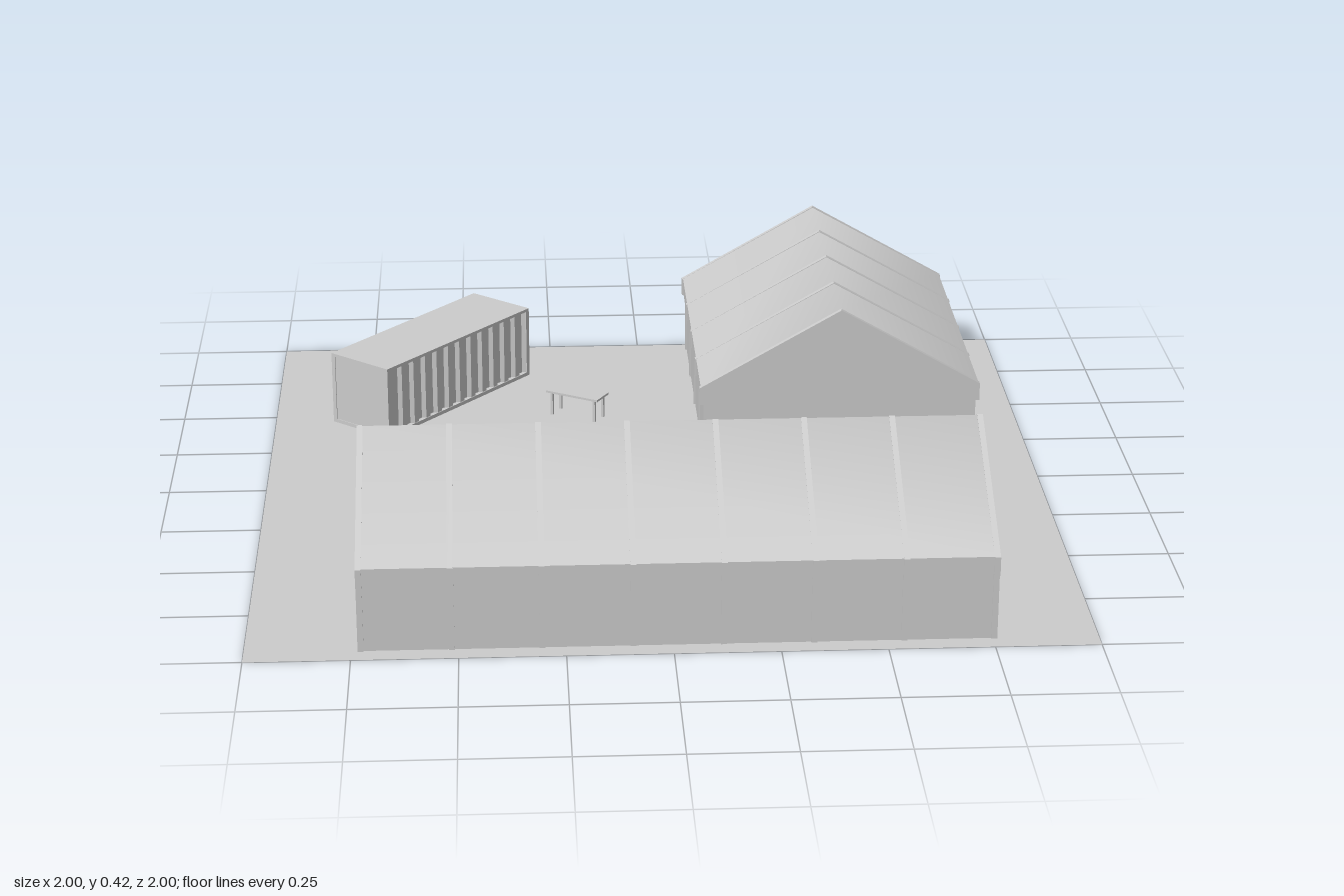
import * as THREE from 'three';

const grey = new THREE.MeshStandardMaterial({ color: 0xcccccc, side: THREE.DoubleSide });

function add(parent, name, geometry, x = 0, y = 0, z = 0) {
  const mesh = new THREE.Mesh(geometry, grey);
  mesh.name = name;
  mesh.position.set(x, y, z);
  parent.add(mesh);
  return mesh;
}

const box = (w, h, d) => new THREE.BoxGeometry(w, h, d);

// Gable cross-section with stepped-out eaves, grown outwards by g
function gableShape(g) {
  const half = [[0.353 + g, 0], [0.353 + g, 0.17 - g], [0.363 + g, 0.17 - g], [0.363 + g, 0.213]];
  const points = [...half, [0, 0.419 + g], ...half.map(([x, y]) => [-x, y]).reverse()];
  return new THREE.Shape(points.map(([x, y]) => new THREE.Vector2(x, y)));
}

// Extrusion centred on its own depth
function slab(shape, depth) {
  const geometry = new THREE.ExtrudeGeometry(shape, { depth, bevelEnabled: false });
  return geometry.translate(0, 0, -depth / 2);
}

// Roof sheet whose two slopes blend smoothly over the ridge
function roofSheet(length) {
  const geometry = new THREE.PlaneGeometry(0.728, length, 2, 1).rotateX(-Math.PI / 2);
  const p = geometry.attributes.position;
  for (let i = 0; i < p.count; i++) p.setY(i, 0.421 - Math.abs(p.getX(i)) * 0.5675);
  geometry.computeVertexNormals();
  return geometry;
}

// Portal-frame shed, ridge along local z
function shed(name, length, bays) {
  const group = new THREE.Group();
  group.name = name;
  add(group, 'shedBody', slab(gableShape(0), length - 0.003));
  add(group, 'roofSheet', roofSheet(length - 0.003));
  const ribWidth = 0.014;
  for (let i = 0; i <= bays; i++) {
    const z = (i / bays - 0.5) * (length - ribWidth);
    add(group, 'frameRib', slab(gableShape(0.004), ribWidth), 0, 0, z);
  }
  return group;
}

// Shipping container, long side along local x
function container() {
  const group = new THREE.Group();
  group.name = 'container';
  const L = 0.59, W = 0.2, H = 0.2, t = 0.012;

  // Trapezoid-corrugated side walls seen in plan
  const waves = 12, pitch = (L - 2 * t) / waves;
  const side = [];
  for (let i = 0; i < waves; i++) {
    const x = -L / 2 + t + i * pitch;
    const out = W / 2 - 0.002, inn = W / 2 - 0.012;
    side.push([x, out], [x + pitch * 0.35, out], [x + pitch * 0.5, inn], [x + pitch * 0.85, inn]);
  }
  side.push([L / 2 - t, W / 2 - 0.002]);
  const plan = [...side, ...side.map(([x, y]) => [x, -y]).reverse()];
  const shape = new THREE.Shape(plan.map(([x, y]) => new THREE.Vector2(x, y)));
  const walls = add(group, 'corrugatedWalls', slab(shape, H - 0.01), 0, H / 2, 0);
  walls.rotation.x = -Math.PI / 2;

  // Roof, floor, corner posts and end panels
  add(group, 'containerRoof', box(L, 0.008, W), 0, H - 0.004, 0);
  add(group, 'containerFloor', box(L, 0.01, W), 0, 0.007, 0);
  for (const sx of [-1, 1]) {
    add(group, 'endPanel', box(0.01, H - 0.016, W - 0.01), sx * (L / 2 - 0.007), H / 2, 0);
    for (const sz of [-1, 1]) {
      add(group, 'cornerPost', box(t, H - 0.004, t), sx * (L - t) / 2, H / 2, sz * (W - t) / 2);
    }
  }
  return group;
}

// Small work table in the yard
function table() {
  const group = new THREE.Group();
  group.name = 'table';
  add(group, 'tableTop', box(0.157, 0.006, 0.066), 0, 0.067, 0);
  for (const sx of [-1, 1]) {
    for (const sz of [-1, 1]) {
      add(group, 'tableLeg', box(0.007, 0.065, 0.007), sx * 0.065, 0.0325, sz * 0.024);
    }
  }
  return group;
}

export function createModel() {
  const model = new THREE.Group();
  model.name = 'farmyard';

  add(model, 'ground', new THREE.PlaneGeometry(2, 2).rotateX(-Math.PI / 2));

  const place = (part, x, z, turn) => {
    part.position.set(x, 0, z);
    part.rotation.y = turn;
    model.add(part);
  };
  place(shed('longShed', 1.495, 7), 0.0125, 0.6, Math.PI / 2);
  place(shed('shortShed', 0.85, 4), 0.4925, -0.55, 0);
  place(container(), -0.578, -0.622, 0.868);
  place(table(), -0.185, -0.478, -0.53);

  return model;
}
